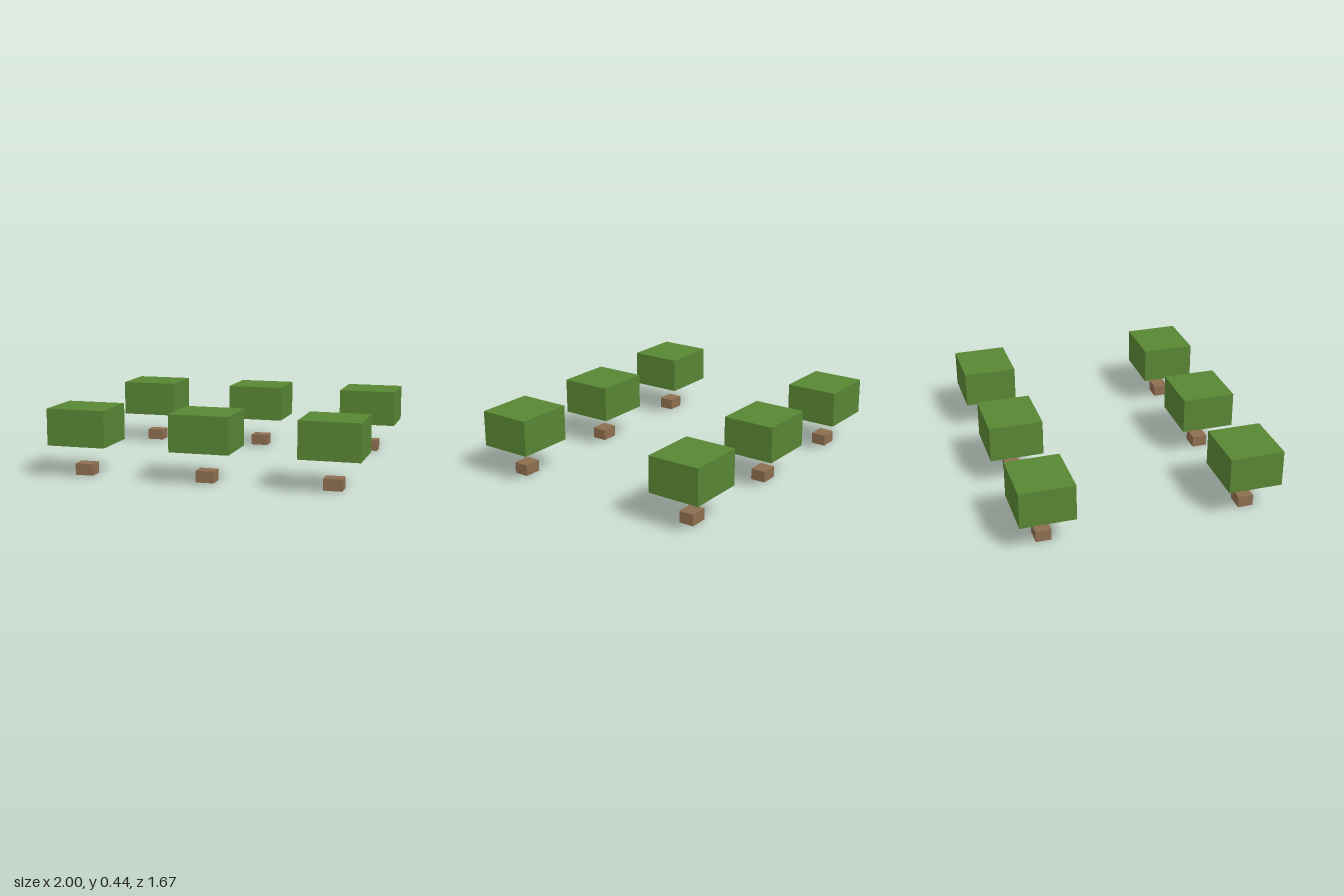
import * as THREE from 'three';

export function createModel() {
  const model = new THREE.Group();
  model.name = 'treeRows';

  const leafGreen = new THREE.MeshStandardMaterial({ color: 0x588634 });
  leafGreen.name = 'leafGreen';
  const barkBrown = new THREE.MeshStandardMaterial({ color: 0x8d6e4f });
  barkBrown.name = 'barkBrown';

  // Geometry origins sit at the bottom of each block
  const crownGeometry = new THREE.BoxGeometry(0.383, 0.236, 0.35).translate(0, 0.118, 0);
  const trunkGeometry = new THREE.BoxGeometry(0.118, 0.074, 0.1).translate(0, 0.037, 0);

  const addPart = (parent, name, geometry, material, y) => {
    const mesh = new THREE.Mesh(geometry, material);
    mesh.name = name;
    mesh.position.y = y;
    parent.add(mesh);
  };

  // Two rows of three trees, each a short trunk with a floating block crown
  for (const z of [-0.662, 0.662]) {
    for (const x of [-0.808, 0, 0.808]) {
      const tree = new THREE.Group();
      tree.name = 'tree';
      addPart(tree, 'trunk', trunkGeometry, barkBrown, 0);
      addPart(tree, 'crown', crownGeometry, leafGreen, 0.207);
      tree.position.set(x, 0, z);
      model.add(tree);
    }
  }
  return model;
}
